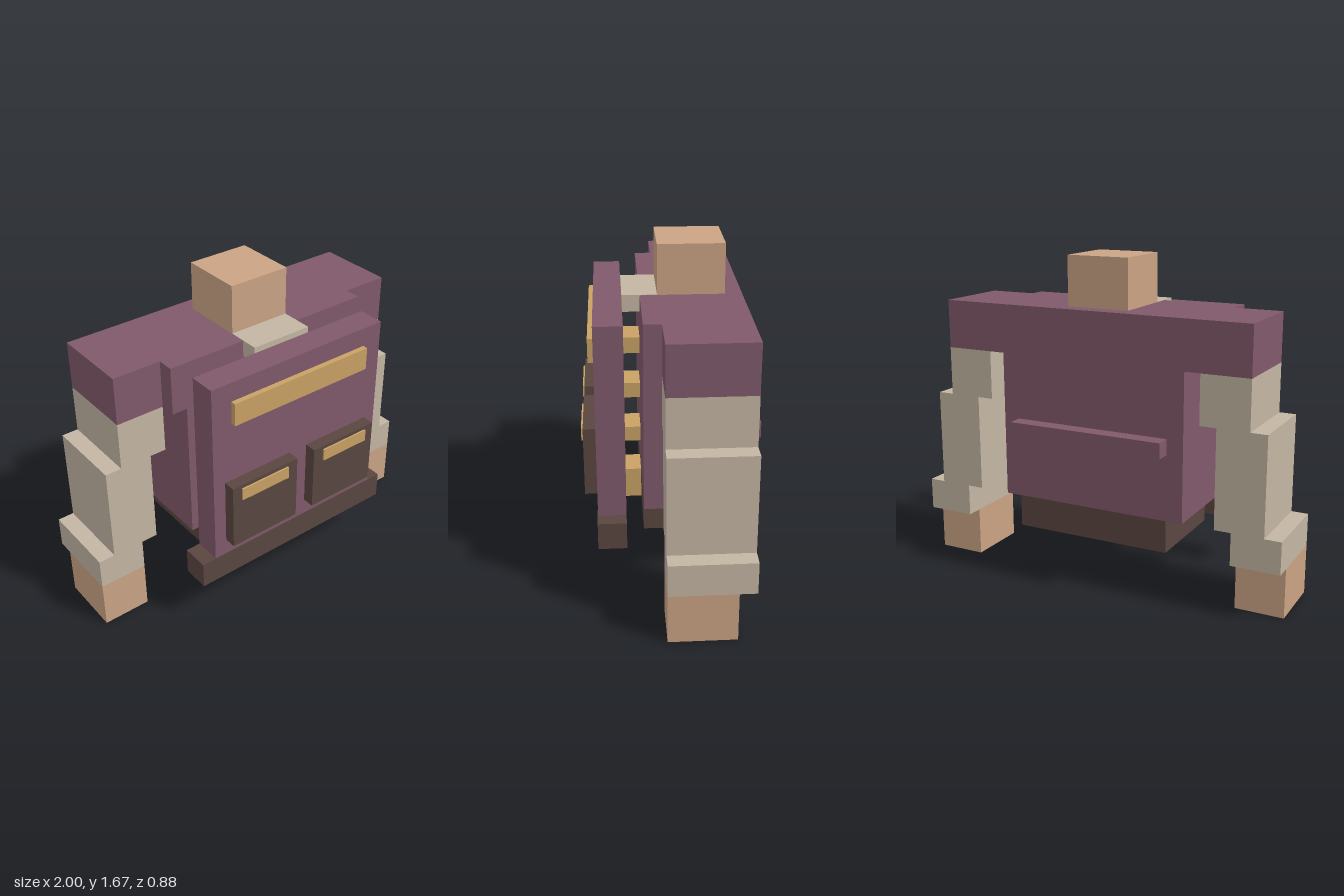
import * as THREE from 'three';

const mat = (name, color) => {
  const m = new THREE.MeshStandardMaterial({ color });
  m.name = name;
  return m;
};

export function createModel() {
  const model = new THREE.Group();
  model.name = 'blockFigure';

  const plum = mat('plum', 0x80596a);
  const cream = mat('cream', 0xc3b5a3);
  const tan = mat('tan', 0xcaa384);
  const gold = mat('gold', 0xc8a164);
  const brown = mat('darkBrown', 0x5a4640);

  // Box from its lower and upper bounds on each axis
  const block = (name, material, [x0, x1], [y0, y1], [z0, z1], parent = model) => {
    const mesh = new THREE.Mesh(new THREE.BoxGeometry(x1 - x0, y1 - y0, z1 - z0), material);
    mesh.position.set((x0 + x1) / 2, (y0 + y1) / 2, (z0 + z1) / 2);
    mesh.name = name;
    parent.add(mesh);
  };
  // The same box on both sides of the body
  const pair = (name, material, [x0, x1], y, z, parent) => {
    block(name + 'Left', material, [x0, x1], y, z, parent);
    block(name + 'Right', material, [-x1, -x0], y, z, parent);
  };

  // Head and collar
  block('head', tan, [-0.165, 0.165], [1.418, 1.67], [-0.275, 0.055]);
  block('collar', cream, [-0.165, 0.165], [1.335, 1.42], [0.055, 0.228]);

  // Body: shoulders, chest plate (split around the collar), torso, hips
  const body = new THREE.Group();
  body.name = 'body';
  model.add(body);
  block('shoulders', plum, [-0.83, 0.83], [1.17, 1.418], [-0.36, 0.055], body);
  block('chestPlate', plum, [-0.58, 0.58], [1.17, 1.335], [0.055, 0.14], body);
  pair('chestTop', plum, [0.165, 0.58], [1.335, 1.418], [0.055, 0.14], body);
  block('torso', plum, [-0.5, 0.5], [0.42, 1.17], [-0.36, 0.14], body);
  block('hips', brown, [-0.415, 0.415], [0.255, 0.42], [-0.36, 0.14], body);
  block('backBar', plum, [-0.415, 0.415], [0.755, 0.835], [-0.44, -0.36], body);

  // Stepped arms with hands
  const arms = new THREE.Group();
  arms.name = 'arms';
  model.add(arms);
  const armZ = [-0.36, 0.055];
  pair('upperArm', cream, [0.58, 0.83], [0.92, 1.17], armZ, arms);
  pair('middleArm', cream, [0.665, 0.915], [0.42, 0.92], armZ, arms);
  pair('cuff', cream, [0.75, 1], [0.255, 0.42], armZ, arms);
  pair('hand', tan, [0.75, 1], [0, 0.255], [-0.275, 0.055], arms);

  // Front panel with belt, pockets and trim
  const panel = new THREE.Group();
  panel.name = 'frontPanel';
  model.add(panel);
  block('panelBoard', plum, [-0.52, 0.52], [0.402, 1.39], [0.228, 0.368], panel);
  block('belt', brown, [-0.598, 0.598], [0.26, 0.402], [0.228, 0.37], panel);
  block('chestTrim', gold, [-0.41, 0.41], [1.17, 1.29], [0.368, 0.396], panel);
  pair('pocket', brown, [0.055, 0.453], [0.49, 0.845], [0.368, 0.43], panel);
  pair('pocketTrim', gold, [0.115, 0.4], [0.76, 0.825], [0.43, 0.4395], panel);

  // Studs that join the panel to the torso
  for (const [y0, y1] of [[0.255, 0.42], [0.59, 0.67], [0.84, 0.92], [1.085, 1.17]]) {
    block('panelStud', gold, [-0.083, 0.083], [y0, y1], [0.14, 0.228], panel);
  }

  return model;
}
